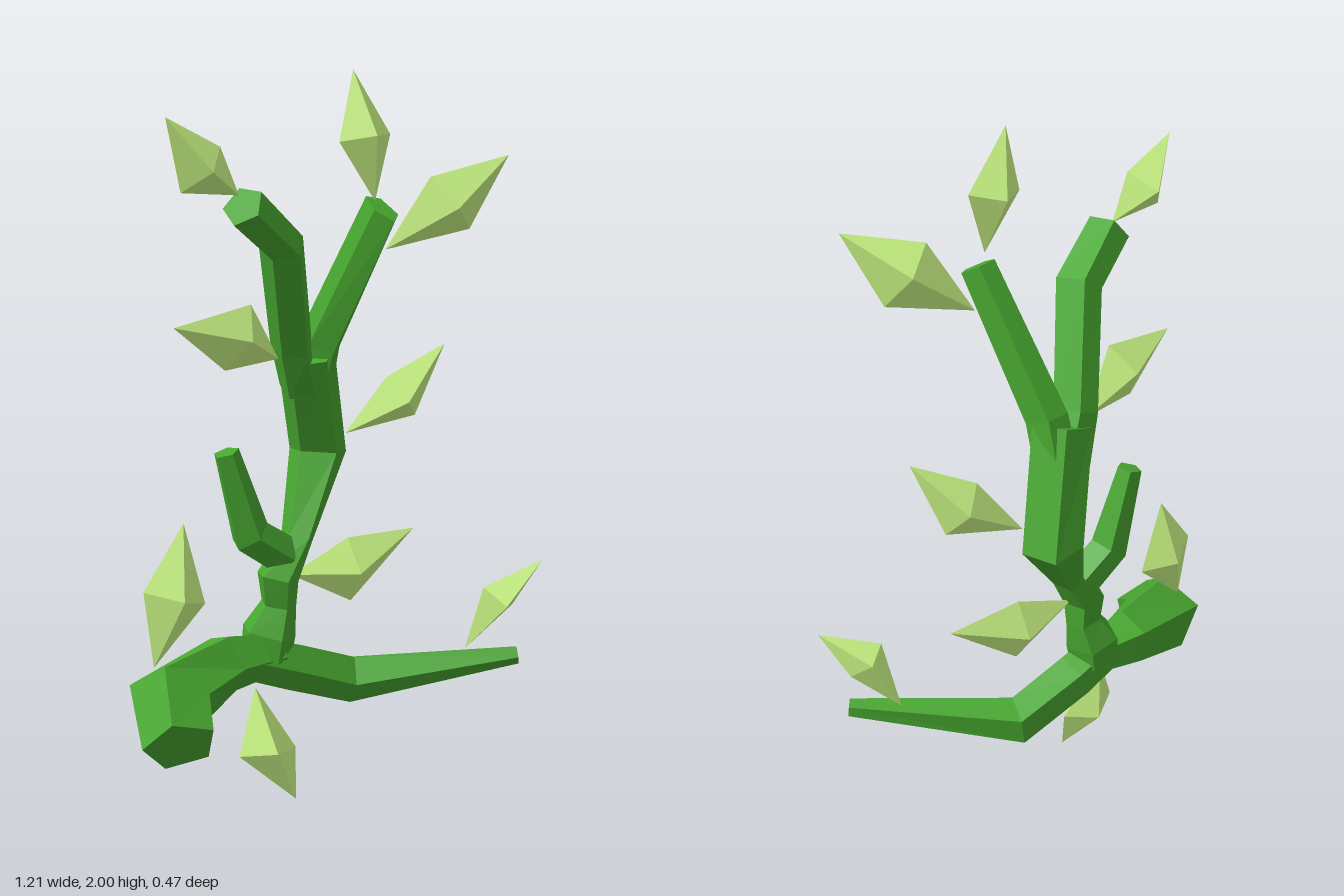
import * as THREE from 'three';

const bark = new THREE.MeshStandardMaterial({ color: 0x48a730, flatShading: true });
const leafGreen = new THREE.MeshStandardMaterial({ color: 0xd2ff8a, flatShading: true });
const V = (x, y, z) => new THREE.Vector3(x, y, z);

// Faceted mesh from a list of triangle corners
function facetMesh(name, corners, material) {
  const geometry = new THREE.BufferGeometry().setFromPoints(corners);
  geometry.computeVertexNormals();
  const mesh = new THREE.Mesh(geometry, material);
  mesh.name = name;
  return mesh;
}

// Tapered, closed five-sided branch through stations [x, y, z, radius across, radius front to back]
function branch(name, stations, sides = 5) {
  const pts = stations.map(([x, y, z]) => V(x, y, z));
  const last = pts.length - 1;
  let side = V(0, 0, 1);
  const rings = pts.map((p, i) => {
    const into = pts[Math.max(i, 1)].clone().sub(pts[Math.max(i, 1) - 1]).normalize();
    const out = pts[Math.min(i + 1, last)].clone().sub(pts[Math.min(i, last - 1)]).normalize();
    const t = into.add(out).normalize();
    // carry the side direction along so the facets do not twist
    side = side.clone().addScaledVector(t, -side.dot(t)).normalize();
    const other = t.clone().cross(side);
    const [, , , across, depth = across] = stations[i];
    return Array.from({ length: sides }, (_, j) => {
      const a = (j / sides) * Math.PI * 2;
      return p.clone().addScaledVector(side, Math.cos(a) * depth).addScaledVector(other, Math.sin(a) * across);
    });
  });
  const tri = [];
  for (let j = 0; j < sides; j++) {
    const k = (j + 1) % sides;
    for (let i = 0; i < last; i++) {
      const [a, b, c, d] = [rings[i][j], rings[i][k], rings[i + 1][k], rings[i + 1][j]];
      tri.push(a, b, c, a, c, d);
    }
    tri.push(pts[0], rings[0][k], rings[0][j], pts[last], rings[last][j], rings[last][k]);
  }
  return facetMesh(name, tri, bark);
}

// Four-sided double-pointed leaf: base, tip, and the two belly corners in x and y
function leaf([base, tip, [ax, ay], [bx, by]], depth = 0.06) {
  const p = V(...base), q = V(...tip);
  const axis = q.clone().sub(p);
  const mid = V((ax + bx) / 2, (ay + by) / 2, (p.z + q.z) / 2);
  const w = V((ax - bx) / 2, (ay - by) / 2, 0);
  const d = axis.cross(w).setLength(depth);
  const ring = [mid.clone().add(w), mid.clone().add(d), mid.clone().sub(w), mid.clone().sub(d)];
  const tri = [];
  ring.forEach((a, j) => {
    const b = ring[(j + 1) % 4];
    tri.push(a, b, q, b, a, p);
  });
  return facetMesh('leaf', tri, leafGreen);
}

export function createModel() {
  const plant = new THREE.Group();
  plant.name = 'vine';

  // Stem and its branches
  plant.add(
    branch('stem', [
      [-0.15, 0.4, -0.06, 0.075], [-0.14, 0.47, -0.06, 0.08], [-0.11, 0.55, -0.055, 0.052],
      [-0.115, 0.63, -0.05, 0.062], [-0.045, 0.73, -0.06, 0.042, 0.055],
      [0.085, 0.95, -0.163, 0.086], [0.0, 1.25, -0.085, 0.085],
    ]),
    branch('upperBranchRight', [
      [0.0, 1.15, -0.11, 0.06, 0.07], [-0.05, 1.27, -0.075, 0.053, 0.075],
      [-0.15, 1.56, 0.05, 0.055, 0.08], [-0.29, 1.665, 0.1, 0.057, 0.068],
    ]),
    branch('upperBranchLeft', [
      [0.03, 1.15, -0.11, 0.06, 0.07], [0.037, 1.28, -0.07, 0.053, 0.075],
      [0.107, 1.65, 0.13, 0.041, 0.068],
    ]),
    branch('rootStump', [
      [-0.11, 0.41, -0.06, 0.06], [-0.27, 0.41, -0.06, 0.085],
      [-0.475, 0.365, 0.01, 0.118], [-0.51, 0.285, 0.135, 0.1],
    ]),
    branch('lowerBranch', [
      [-0.2, 0.41, -0.055, 0.065], [-0.07, 0.36, -0.06, 0.07],
      [0.13, 0.285, -0.055, 0.072], [0.54, 0.36, 0.205, 0.027],
    ]),
    branch('twig', [
      [-0.09, 0.69, -0.055, 0.058], [-0.2, 0.765, -0.05, 0.058], [-0.27, 1.005, -0.05, 0.036],
    ]),
  );

  // Leaves: base, tip, belly corners
  const leaves = new THREE.Group();
  leaves.name = 'leaves';
  [
    [[0.07, 1.67, 0.15], [0.02, 2.0, 0.12], [-0.03, 1.82], [0.125, 1.84]],
    [[0.13, 1.54, 0.11], [0.44, 1.785, 0.23], [0.23, 1.73], [0.36, 1.59]],
    [[-0.29, 1.69, 0.08], [-0.505, 1.88, 0.115], [-0.35, 1.81], [-0.46, 1.7]],
    [[-0.09, 1.24, -0.08], [-0.45, 1.36, 0.02], [-0.2, 1.4], [-0.28, 1.23]],
    [[0.15, 1.0, -0.12], [0.43, 1.25, -0.03], [0.26, 1.16], [0.36, 1.04]],
    [[-0.07, 0.63, -0.05], [0.35, 0.705, -0.06], [0.12, 0.71], [0.13, 0.52]],
    [[0.42, 0.37, 0.11], [0.605, 0.64, 0.225], [0.44, 0.57], [0.545, 0.5]],
    [[-0.51, 0.45, -0.02], [-0.405, 0.83, -0.04], [-0.53, 0.66], [-0.35, 0.6]],
    [[-0.2, 0.33, -0.03], [-0.11, 0, 0.04], [-0.27, 0.15], [-0.09, 0.14]],
  ].forEach((spec) => leaves.add(leaf(spec)));
  plant.add(leaves);
  return plant;
}
